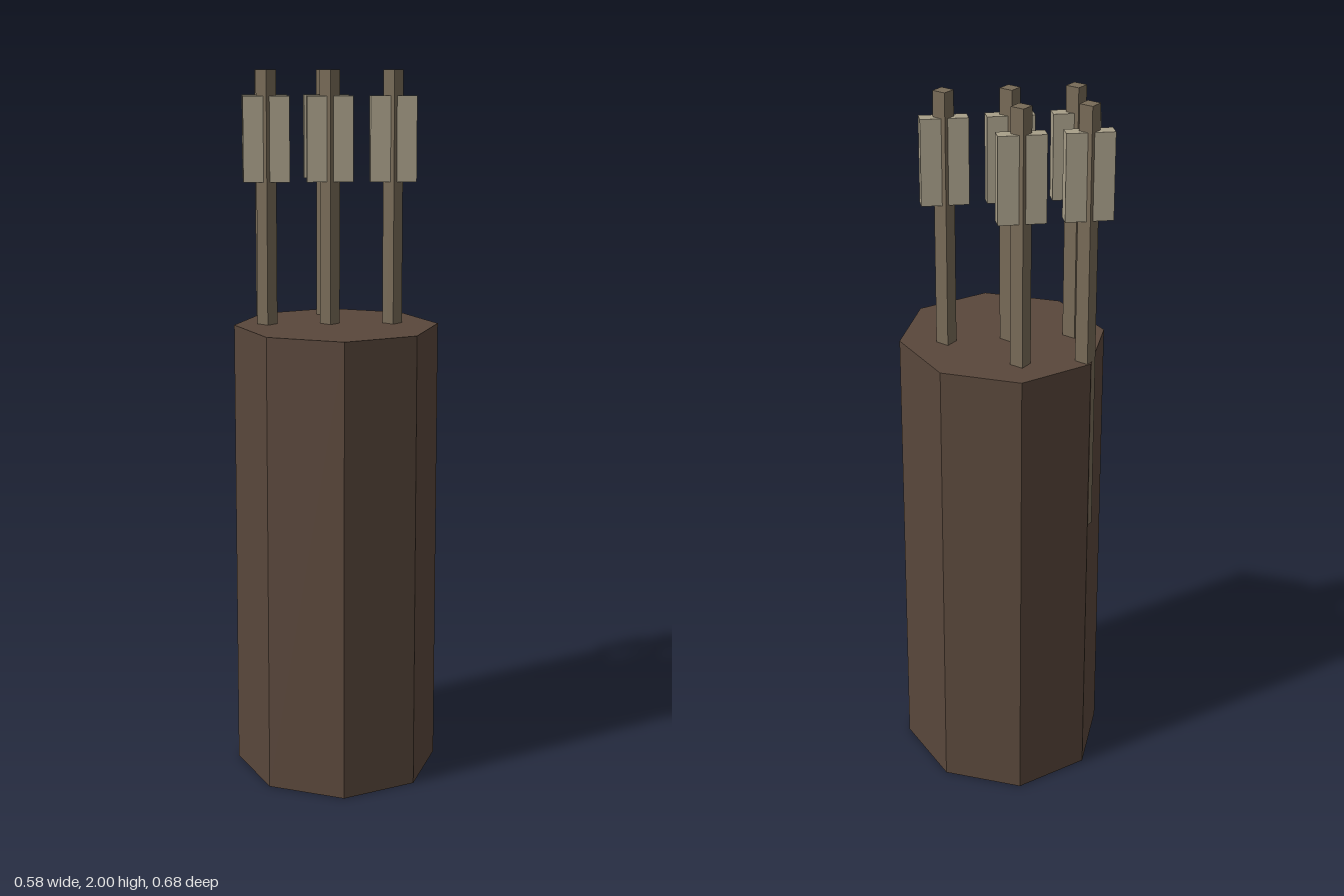
import * as THREE from 'three';

export function createModel() {
  const model = new THREE.Group();
  model.name = 'quiverWithArrows';
  const mat = (name, color) => {
    const m = new THREE.MeshStandardMaterial({ color, flatShading: true });
    m.name = name;
    return m;
  };
  const leather = mat('dark leather', 0x59473b);
  const wood = mat('shaft wood', 0x776a57);
  const feather = mat('pale feather', 0xa89f89);

  const add = (parent, name, geometry, material, y) => {
    const mesh = new THREE.Mesh(geometry, material);
    mesh.name = name;
    mesh.position.y = y;
    parent.add(mesh);
  };

  // Closed eight-sided case, slightly deeper than wide
  const caseHeight = 1.29;
  const caseGeo = new THREE.CylinderGeometry(1, 1, caseHeight, 8).scale(0.29, 1, 0.342);
  add(model, 'quiverCase', caseGeo, leather, caseHeight / 2);

  // Arrows: four-sided shafts reaching down into the case, with a feather block
  const shaftBottom = 0.79;
  const shaftLength = 2 - shaftBottom;
  const shaftGeo = new THREE.CylinderGeometry(1, 1, shaftLength, 4).scale(0.028, 1, 0.032);
  const featherGeo = new THREE.BoxGeometry(0.13, 0.238, 0.044);
  const spots = [[-0.195, -0.211], [-0.017, -0.211], [-0.195, -0.021], [-0.017, -0.021], [0.161, -0.021]];
  for (const [x, z] of spots) {
    const arrow = new THREE.Group();
    arrow.name = 'arrow';
    arrow.position.set(x, 0, z);
    add(arrow, 'arrowShaft', shaftGeo, wood, shaftBottom + shaftLength / 2);
    add(arrow, 'arrowFeathers', featherGeo, feather, 1.81);
    model.add(arrow);
  }
  return model;
}
